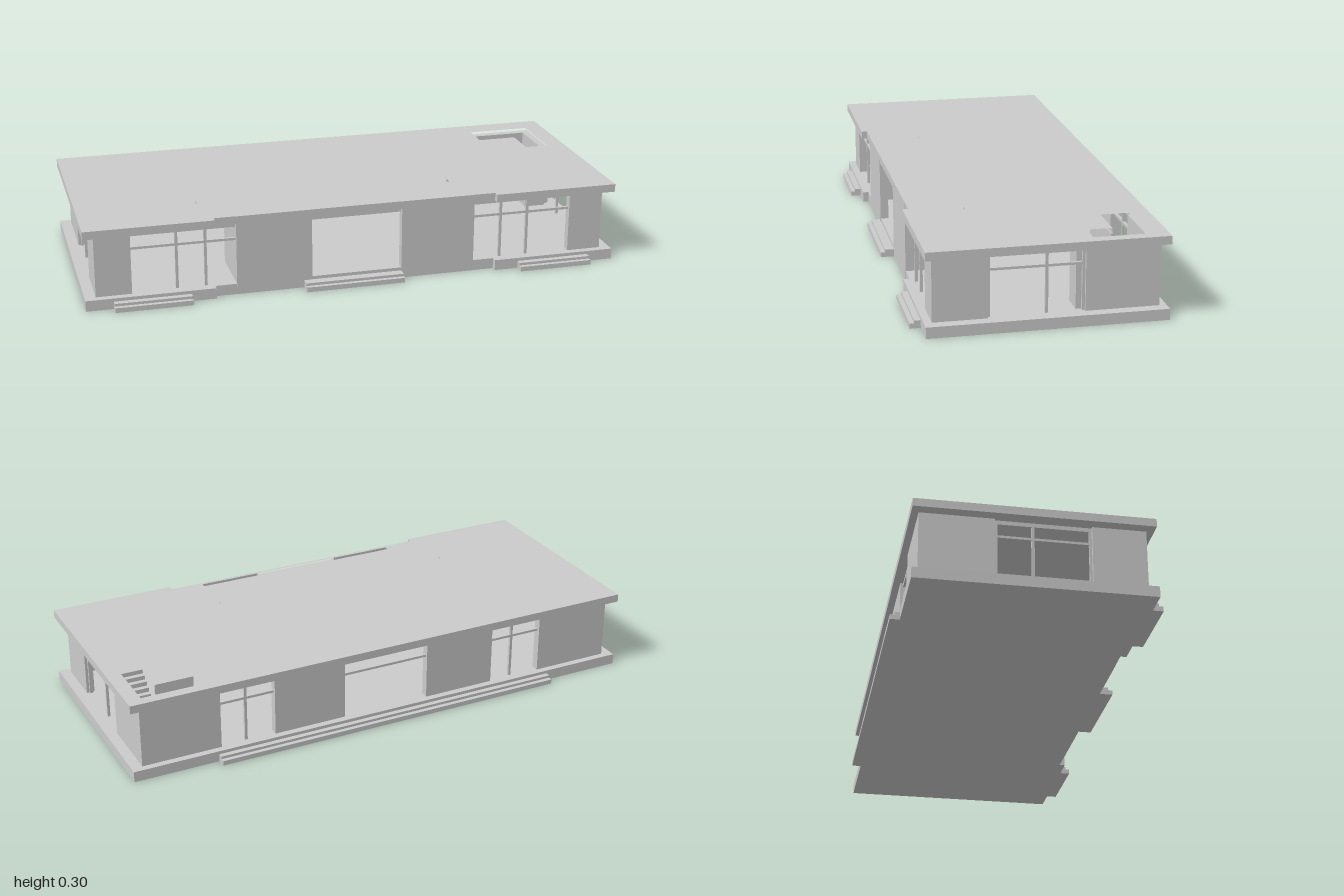
import * as THREE from 'three';

const material = new THREE.MeshStandardMaterial({ color: 0xcccccc, flatShading: true });

export function createModel() {
  const model = new THREE.Group();
  model.name = 'pavilion';

  const add = (name, geometry) => {
    const mesh = new THREE.Mesh(geometry, material);
    mesh.name = name;
    model.add(mesh);
  };

  // Box given by its limits on each axis
  const box = (name, x0, x1, y0, y1, z0, z1) => {
    const g = new THREE.BoxGeometry(x1 - x0, y1 - y0, z1 - z0);
    g.translate((x0 + x1) / 2, (y0 + y1) / 2, (z0 + z1) / 2);
    add(name, g);
  };

  // Flat plate extruded upward from a plan drawn as [x, z] points
  const plate = (name, outline, hole, y0, y1) => {
    const toPoints = (list) => list.map(([x, z]) => new THREE.Vector2(x, -z));
    const shape = new THREE.Shape(toPoints(outline));
    if (hole) shape.holes.push(new THREE.Path(toPoints(hole)));
    const g = new THREE.ExtrudeGeometry(shape, { depth: y1 - y0, bevelEnabled: false });
    g.rotateX(-Math.PI / 2);
    g.translate(0, y0, 0);
    add(name, g);
  };

  const FLOOR = 0.04, CEILING = 0.27, DECK = 0.29, TOP = 0.3;
  const FRONT = 0.395; // face of the set-back middle front

  // Base slab and roof share one plan
  const plan = [
    [-1, -0.42], [1, -0.42], [1, 0.417], [0.53, 0.417], [0.53, FRONT],
    [-0.53, FRONT], [-0.53, 0.417], [-1, 0.417],
  ];
  plate('baseSlab', plan, null, 0, FLOOR);
  const stairwell = [[0.7, -0.365], [0.94, -0.365], [0.94, -0.12], [0.85, -0.12], [0.85, -0.255], [0.7, -0.255]];
  plate('roofDeck', plan, stairwell, CEILING, DECK);

  // Raised rim, widened into pads over the two front entrances
  const rimInside = [
    [-0.96, -0.38], [0.96, -0.38], [0.96, 0.383], [0.555, 0.383], [0.555, 0.2], [0.405, 0.2], [0.405, 0.383],
    [-0.405, 0.383], [-0.405, 0.2], [-0.56, 0.2], [-0.56, 0.383], [-0.96, 0.383],
  ];
  plate('roofRim', plan, rimInside, DECK, TOP);

  // Two-tread entrance steps; dir is +1 at the front, -1 at the back
  const entrySteps = (name, x0, x1, wall, reach, dir) => {
    [[reach, 0.018], [reach - 0.016, 0.028]].forEach(([z, height]) => {
      const a = dir * wall, b = dir * z;
      box(name, x0, x1, 0, height, Math.min(a, b), Math.max(a, b));
    });
  };
  entrySteps('frontSideSteps', -0.9, -0.62, 0.41, 0.455, 1);
  entrySteps('frontSideSteps', 0.62, 0.9, 0.41, 0.455, 1);
  entrySteps('frontCentreSteps', -0.2, 0.17, 0.39, 0.445, 1);
  entrySteps('backSteps', -0.69, 0.68, 0.41, 0.455, -1);

  // Window head, transom and mullions along one wall; at = position across it
  const T = 0.005;
  const bar = (name, along, at, a, b, y0, y1) => (along === 'x'
    ? box(name, a, b, y0, y1, at - T, at + T)
    : box(name, at - T, at + T, y0, y1, a, b));
  const windowFrame = (along, at, a, b, mullions) => {
    bar('windowHead', along, at, a, b, 0.255, CEILING);
    bar('windowTransom', along, at, a, b, 0.204, 0.213);
    mullions.forEach((m) => bar('windowMullion', along, at, m - T, m + T, FLOOR, CEILING));
  };

  for (const s of [-1, 1]) {
    // Mirrored box: limits are measured outward from the middle
    const side = (name, x0, x1, y0, y1, z0, z1) =>
      box(name, Math.min(s * x0, s * x1), Math.max(s * x0, s * x1), y0, y1, z0, z1);

    // Corner and side walls
    side('frontCornerWall', 0.83, 0.96, FLOOR, CEILING, 0.36, 0.39);
    side('frontSideWall', 0.93, 0.96, FLOOR, CEILING, 0.2, 0.36);
    side('backSideWall', 0.93, 0.96, FLOOR, CEILING, -0.365, -0.135);
    side('backCornerWall', 0.66, 0.96, FLOOR, CEILING, -0.395, -0.365);

    // Walls beside the middle openings; the front ones run flush over slab and fascia
    side('backMiddleWall', 0.17, 0.45, FLOOR, CEILING, -0.395, -0.365);
    side('frontMiddleWall', 0.17, 0.45, FLOOR, CEILING, 0.365, 0.384);
    side('frontMiddleFacing', 0.17, 0.45, 0, TOP, 0.384, FRONT + 0.001);
    side('entranceReturnWall', 0.41, 0.45, FLOOR, CEILING, 0.168, 0.365);

    // Glazing bars
    const span = (a, b) => (s > 0 ? [a, b] : [-b, -a]);
    windowFrame('x', 0.375, ...span(0.45, 0.83), [s * 0.56, s * 0.665]);
    windowFrame('x', -0.38, ...span(0.45, 0.66), [s > 0 ? 0.56 : -0.542]);
    windowFrame('z', s * 0.945, -0.135, 0.2, [0.196, -0.003, -0.13]);
  }
  windowFrame('x', -0.38, -0.17, 0.17, []);
  bar('windowHead', 'x', 0.375, -0.17, 0.17, 0.255, CEILING);

  // L-shaped stair: first flight along x, landing, second flight toward the front
  const LANDING = 0.165, n1 = 8, n2 = 7;
  for (let i = 0; i < n1; i++) {
    const x = 0.705 + (i * 0.125) / n1;
    box('lowerStair', x, x + 0.125 / n1, FLOOR, FLOOR + ((i + 1) * (LANDING - FLOOR)) / n1, -0.365, -0.26);
  }
  box('stairLanding', 0.83, 0.935, FLOOR, LANDING, -0.365, -0.25);
  for (let i = 0; i < n2; i++) {
    const z = -0.25 + (i * 0.13) / n2;
    box('upperStair', 0.85, 0.935, FLOOR, LANDING + ((i + 1) * (DECK - LANDING)) / (n2 + 1), z, z + 0.13 / n2);
  }
  box('stairSideWall', 0.705, 0.85, FLOOR, CEILING, -0.26, -0.25);
  box('stairSupportWall', 0.85, 0.935, FLOOR, CEILING, -0.12, -0.107);

  return model;
}
